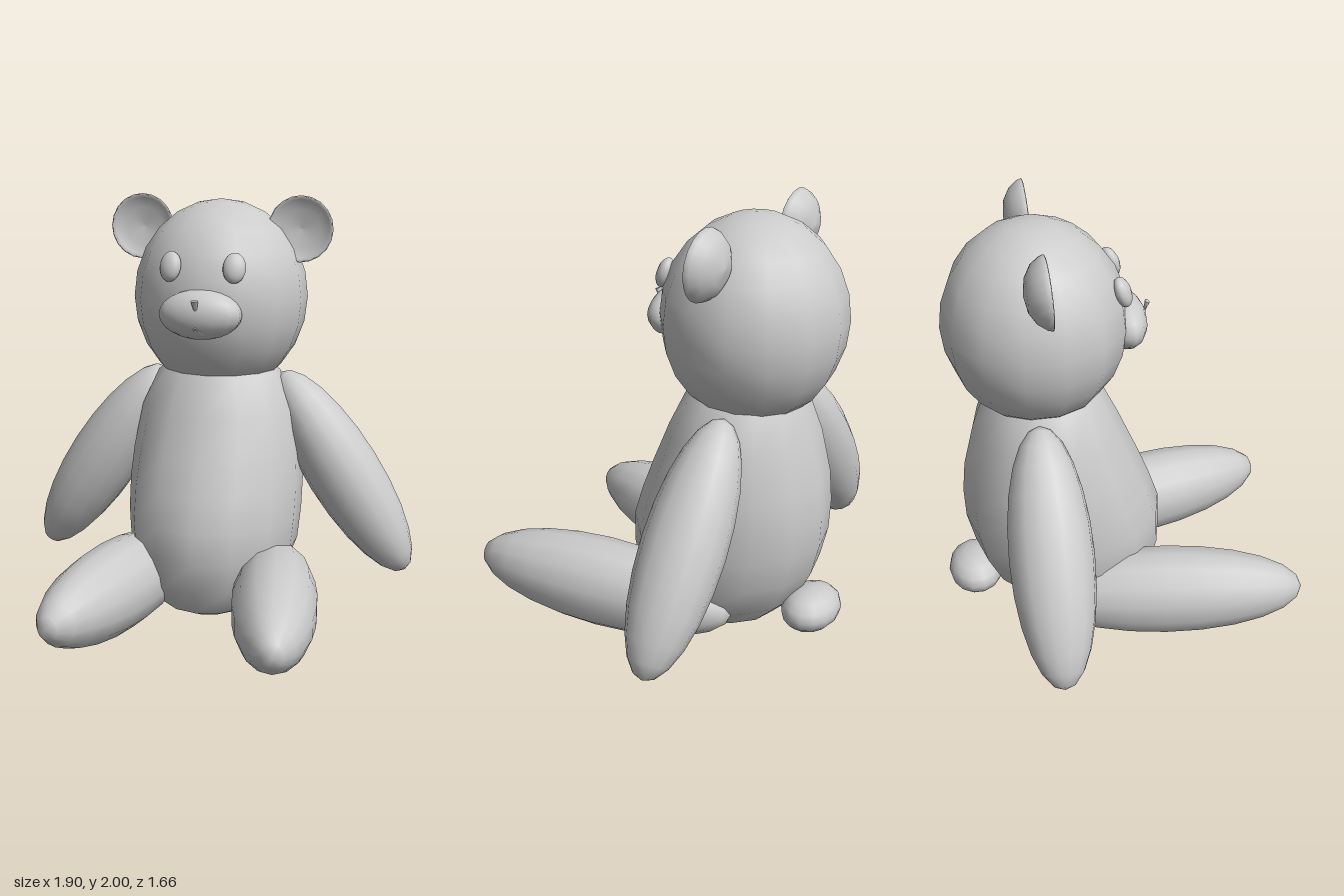
import * as THREE from 'three';

const material = new THREE.MeshStandardMaterial({ color: 0xcccccc });
const openMaterial = new THREE.MeshStandardMaterial({ color: 0xcccccc, side: THREE.DoubleSide });

// Smooth ellipsoid with its poles on the local y axis
function ellipsoid(name, radii, position, rotation = [0, 0, 0], sides = 14, rows = 12) {
  const geometry = new THREE.SphereGeometry(1, sides, rows);
  geometry.rotateY(Math.PI / 2).scale(...radii);
  const mesh = new THREE.Mesh(geometry, material);
  mesh.name = name;
  mesh.position.set(...position);
  mesh.rotation.set(...rotation);
  return mesh;
}

// Closed loft through elliptical rings: [y, half width, front z, back z]
function loft(rings, sides) {
  const points = [];
  const index = [];
  for (const [y, rx, front, back] of rings) {
    for (let i = 0; i < sides; i++) {
      const a = (i / sides) * Math.PI * 2;
      points.push(Math.sin(a) * rx, y, (front + back) / 2 + Math.cos(a) * (front - back) / 2);
    }
  }
  for (let r = 0; r < rings.length - 1; r++) {
    for (let i = 0; i < sides; i++) {
      const a = r * sides + i;
      const b = r * sides + (i + 1) % sides;
      index.push(a, b, b + sides, a, b + sides, a + sides);
    }
  }
  // End caps
  const last = (rings.length - 1) * sides;
  for (let i = 1; i < sides - 1; i++) {
    index.push(0, i + 1, i, last, last + i, last + i + 1);
  }
  const geometry = new THREE.BufferGeometry();
  geometry.setAttribute('position', new THREE.Float32BufferAttribute(points, 3));
  geometry.setIndex(index);
  geometry.computeVertexNormals();
  return geometry;
}

function tube(name, points, radius) {
  const curve = new THREE.CatmullRomCurve3(points.map((p) => new THREE.Vector3(...p)));
  const mesh = new THREE.Mesh(new THREE.TubeGeometry(curve, 6, radius, 5), openMaterial);
  mesh.name = name;
  return mesh;
}

export function createModel() {
  const bear = new THREE.Group();
  bear.name = 'teddyBear';

  // Pear-shaped body leaning back towards the neck
  const body = new THREE.Mesh(loft([
    [0.035, 0.16, 0.0, -0.36],
    [0.08, 0.25, 0.1, -0.5],
    [0.2, 0.35, 0.17, -0.62],
    [0.35, 0.405, 0.205, -0.69],
    [0.5, 0.418, 0.2, -0.725],
    [0.65, 0.42, 0.15, -0.73],
    [0.8, 0.408, 0.09, -0.715],
    [1.0, 0.372, 0.005, -0.665],
    [1.17, 0.295, -0.075, -0.605],
    [1.25, 0.2, -0.15, -0.55],
  ], 14), material);
  body.name = 'body';
  bear.add(body);

  bear.add(ellipsoid('head', [0.415, 0.46, 0.41], [0, 1.522, -0.363]));
  bear.add(ellipsoid('muzzle', [0.193, 0.113, 0.1], [0, 1.488, 0.03]));
  bear.add(ellipsoid('tail', [0.168, 0.1, 0.13], [0, 0.18, -0.7], [0, 0, 0], 14, 8));

  // Small pointed nose and stitched mouth
  const nose = new THREE.Mesh(new THREE.ConeGeometry(0.018, 0.08, 8), material);
  nose.name = 'nose';
  nose.rotation.x = Math.PI + 0.3;
  nose.scale.z = 0.6;
  nose.position.set(0, 1.525, 0.123);
  bear.add(nose);
  bear.add(tube('mouth', [[-0.028, 1.408, 0.092], [0, 1.44, 0.119], [0.028, 1.408, 0.092]], 0.005));

  // Shallow cup used for the ears, open towards +z
  const cup = [[0, -0.1], [0.07, -0.088], [0.12, -0.058], [0.147, -0.022], [0.154, 0],
    [0.147, 0.004], [0.136, -0.004], [0.09, -0.024], [0, -0.035]];
  const earGeometry = new THREE.LatheGeometry(cup.map(([x, y]) => new THREE.Vector2(x, y)), 20);
  earGeometry.rotateX(Math.PI / 2);

  for (const side of [1, -1]) {
    const prefix = side > 0 ? 'left' : 'right';

    const ear = new THREE.Mesh(earGeometry, openMaterial);
    ear.name = prefix + 'Ear';
    ear.position.set(side * 0.383, 1.848, -0.344);
    ear.rotation.x = -0.05;
    bear.add(ear);

    bear.add(ellipsoid(prefix + 'Eye', [0.053, 0.07, 0.036],
      [side * 0.148, 1.697, -0.002], [-0.35, side * 0.3, 0]));

    bear.add(ellipsoid(prefix + 'Arm', [0.177, 0.57, 0.186],
      [side * 0.605, 0.685, -0.393], [0, 0, side * 0.585]));

    // Leg laid forwards and splayed outwards, one slightly ahead of the other
    const leg = ellipsoid(prefix + 'Leg', [0.198, 0.643, 0.213],
      [side > 0 ? 0.39 : -0.367, 0.213, side > 0 ? 0.195 : 0.165]);
    leg.geometry.rotateX(Math.PI / 2);
    leg.rotation.set(-0.03, side * 0.18, 0);
    bear.add(leg);
  }

  return bear;
}
